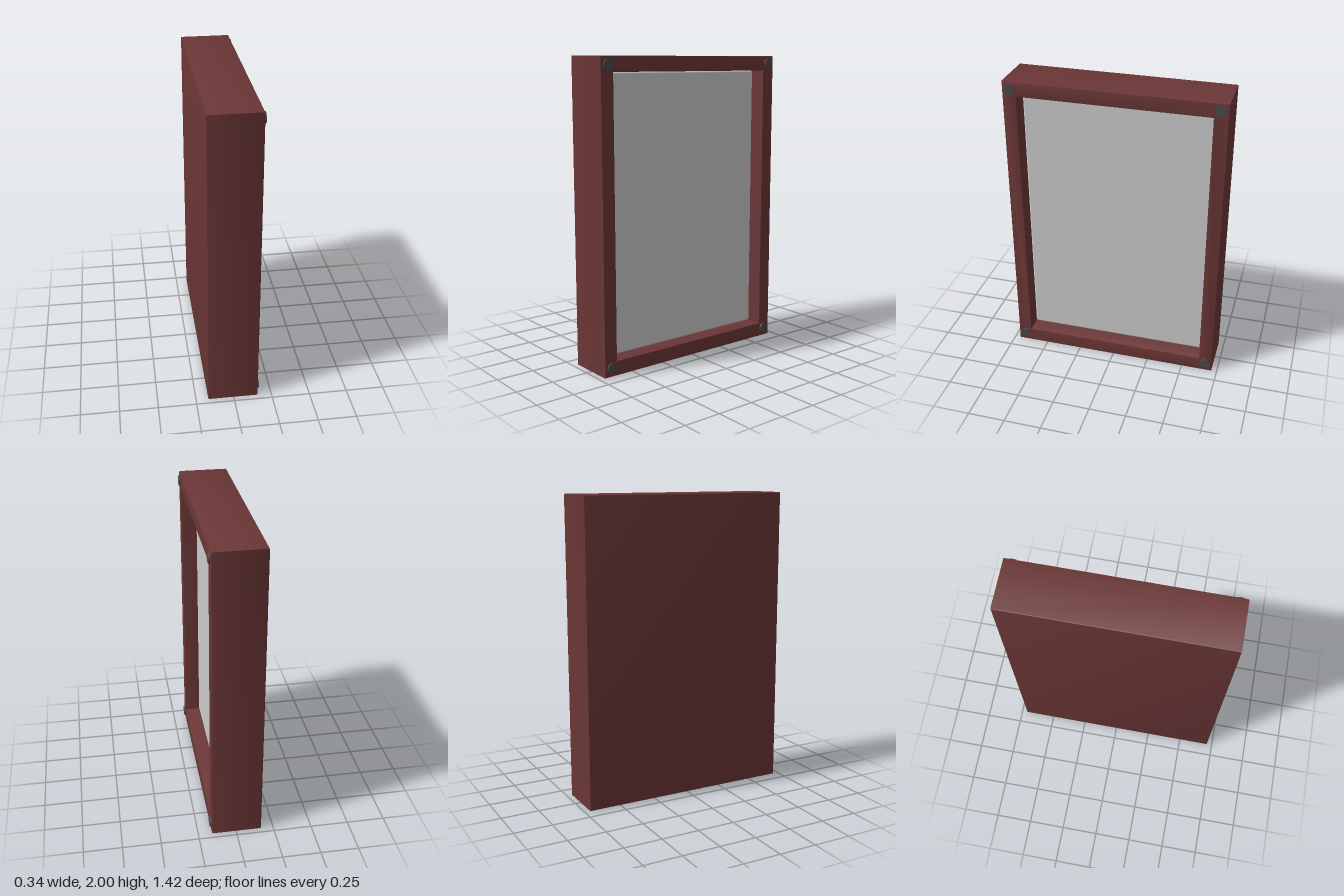
import * as THREE from 'three';
import { RoundedBoxGeometry } from 'three/addons/geometries/RoundedBoxGeometry.js';
import { toCreasedNormals } from 'three/addons/utils/BufferGeometryUtils.js';

// Skin joining rectangular rings [x, halfHeight, halfWidth], from back to front
function ringShell(rings) {
  const corners = [[-1, 1], [-1, -1], [1, -1], [1, 1]];
  const point = (r, j) => [r[0], r[1] * corners[j % 4][0], r[2] * corners[j % 4][1]];
  const positions = [];
  for (let i = 0; i < rings.length - 1; i++) {
    for (let j = 0; j < 4; j++) {
      const a = point(rings[i], j), b = point(rings[i], j + 1);
      const c = point(rings[i + 1], j + 1), d = point(rings[i + 1], j);
      positions.push(...a, ...b, ...c, ...a, ...c, ...d);
    }
  }
  const geometry = new THREE.BufferGeometry();
  geometry.setAttribute('position', new THREE.Float32BufferAttribute(positions, 3));
  geometry.computeVertexNormals();
  return toCreasedNormals(geometry, 0.5);
}

export function createModel() {
  const model = new THREE.Group();
  const frameMaterial = new THREE.MeshStandardMaterial({ color: 0x6b3636 });
  const padMaterial = new THREE.MeshStandardMaterial({ color: 0x4a4a4a });
  const panelMaterial = new THREE.MeshStandardMaterial({ color: 0xcccccc });

  const add = (name, geometry, material, x, y, z) => {
    const mesh = new THREE.Mesh(geometry, material);
    mesh.name = name;
    mesh.position.set(x, y, z);
    model.add(mesh);
    return mesh;
  };

  // Closed case with softened outer edges and a recess in the +x side
  add('caseFrame', ringShell([
    [-0.17, 0, 0],
    [-0.17, 0.992, 0.704],
    [-0.168, 0.998, 0.71],
    [-0.162, 1, 0.712],
    [0.152, 1, 0.712],
    [0.158, 0.998, 0.71],
    [0.16, 0.992, 0.704],
    [0.16, 0.911, 0.628],
    [0.158, 0.905, 0.622],
    [0.152, 0.903, 0.62],
    [0.02, 0.903, 0.62],
    [0.02, 0, 0],
  ]), frameMaterial, 0, 1, 0);

  // Recessed panel with rounded edges
  add('panel', new RoundedBoxGeometry(0.05, 1.806, 1.24, 4, 0.015), panelMaterial, 0.032, 1, 0);

  // Round pads on the frame corners
  const padGeometry = new THREE.CylinderGeometry(0.034, 0.034, 0.03, 32);
  for (const [row, y] of [['lower', 0.06], ['upper', 1.95]]) {
    for (const [side, z] of [['Front', 0.662], ['Back', -0.662]]) {
      add(`${row}${side}Pad`, padGeometry, padMaterial, 0.155, y, z).rotation.z = -Math.PI / 2;
    }
  }
  return model;
}
